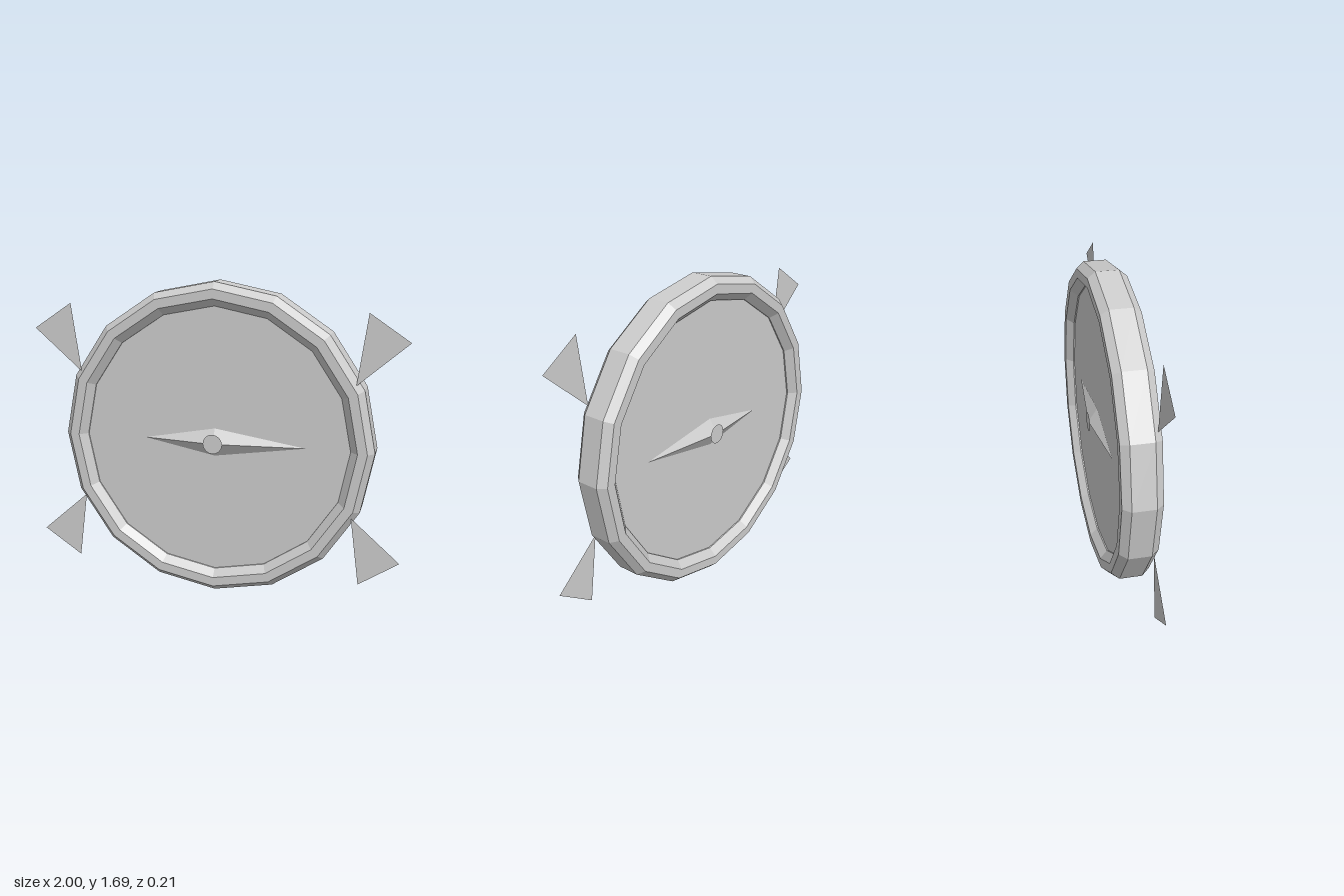
import * as THREE from 'three';

const SIDES = 16;
const CENTRE_Y = 0.847;

// Facet a geometry so every face keeps its own normal
function faceted(geometry) {
  const flat = geometry.index ? geometry.toNonIndexed() : geometry;
  flat.computeVertexNormals();
  return flat;
}

// Low four-sided pyramid: long tip at +x, short tip at -x
function needleGeometry() {
  const base = [[0.49, 0, 0.055], [0, 0.075, 0.055], [-0.39, 0, 0.055], [0, -0.075, 0.055]];
  const apex = [0, 0, 0.104];
  const corners = [];
  base.forEach((p, i) => corners.push(...p, ...base[(i + 1) % 4], ...apex));
  const geometry = new THREE.BufferGeometry();
  geometry.setAttribute('position', new THREE.Float32BufferAttribute(corners, 3));
  return faceted(geometry);
}

export function createModel() {
  const model = new THREE.Group();
  model.name = 'compass';
  const grey = new THREE.MeshStandardMaterial({ color: 0xcccccc });
  grey.name = 'grey';
  const greyThin = grey.clone();
  greyThin.name = 'grey';
  greyThin.side = THREE.DoubleSide;

  const add = (name, geometry, material = grey, parent = model) => {
    const mesh = new THREE.Mesh(geometry, material);
    mesh.name = name;
    parent.add(mesh);
    return mesh;
  };

  // Bevelled rim with an eight-point cross-section
  const profile = [
    [0.723, -0.06], [0.763, -0.1], [0.813, -0.1], [0.847, -0.06],
    [0.847, 0.06], [0.813, 0.1], [0.763, 0.1], [0.723, 0.06], [0.723, -0.06],
  ].map(([r, z]) => new THREE.Vector2(r, z));
  const rim = new THREE.LatheGeometry(profile, SIDES).rotateX(Math.PI / 2);
  add('rim', faceted(rim)).position.y = CENTRE_Y;

  // Dial plate recessed on both sides
  const dial = new THREE.CylinderGeometry(0.724, 0.724, 0.106, SIDES).rotateX(Math.PI / 2);
  add('dial', faceted(dial)).position.y = CENTRE_Y;

  // Needle and hub on the front and the back
  for (const [side, angle] of [['front', 0], ['back', Math.PI]]) {
    const pointer = new THREE.Group();
    pointer.name = side + 'Pointer';
    pointer.position.y = CENTRE_Y;
    pointer.rotation.x = angle;
    add(side + 'Needle', needleGeometry(), grey, pointer);
    add(side + 'Hub', new THREE.CircleGeometry(0.053, SIDES).translate(0, 0, 0.105), grey, pointer);
    model.add(pointer);
  }

  // Four flat triangular points around the rim
  for (const [sx, xName] of [[1, 'left'], [-1, 'right']]) {
    for (const [sy, yName] of [[1, 'Upper'], [-1, 'Lower']]) {
      const corners = [[0.74, 0.35], [1, 0.577], [0.79, 0.717]]
        .map(([x, y]) => new THREE.Vector2(sx * x, sy * y));
      const point = add(xName + yName + 'Point', new THREE.ShapeGeometry(new THREE.Shape(corners)), greyThin);
      point.position.set(0, CENTRE_Y, 0.08);
    }
  }
  return model;
}
